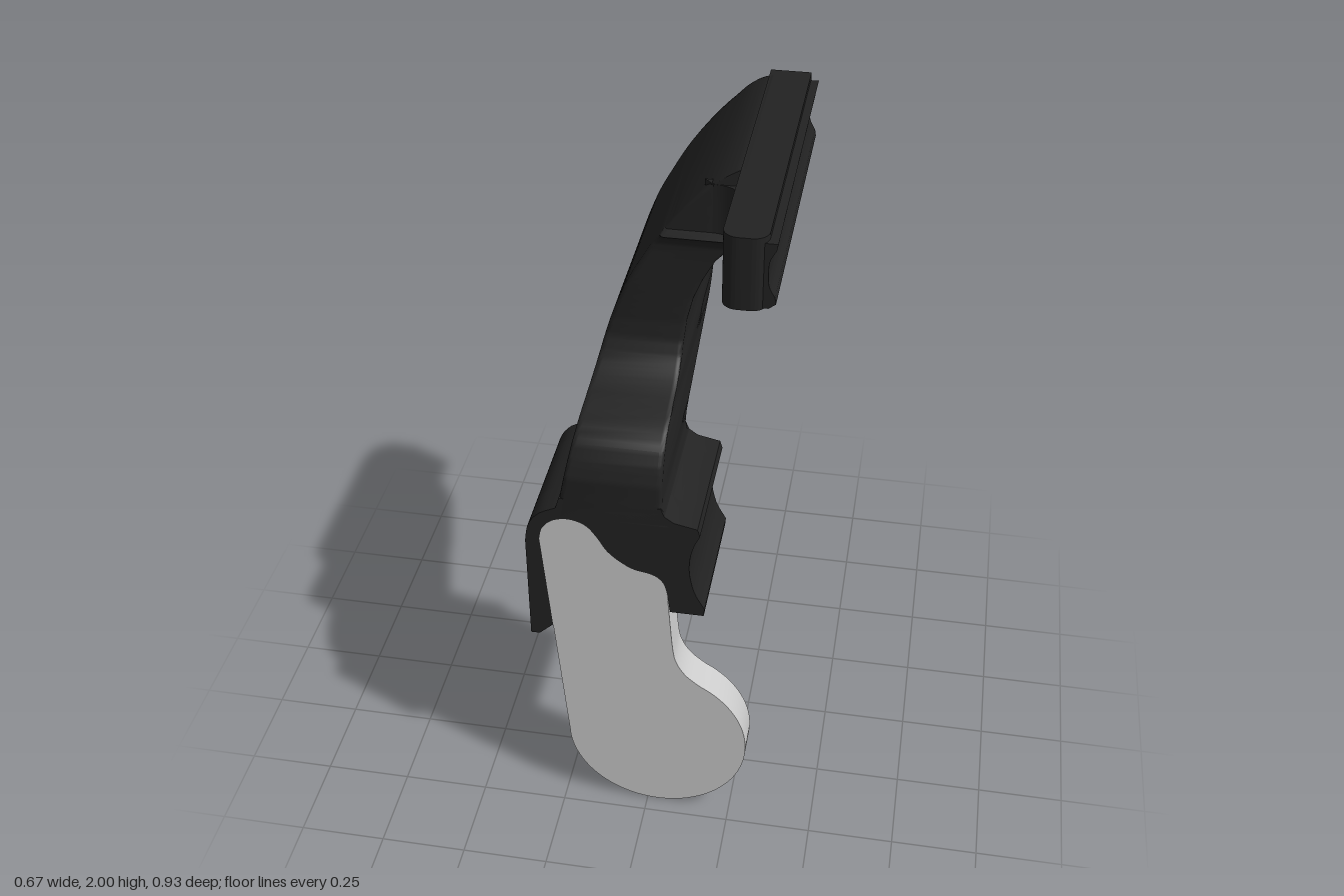
import * as THREE from 'three';
import { toCreasedNormals } from 'three/addons/utils/BufferGeometryUtils.js';

const black = new THREE.MeshStandardMaterial({ color: 0x222222 });
const grey = new THREE.MeshStandardMaterial({ color: 0xcccccc });

function part(name, geometry, material) {
  const mesh = new THREE.Mesh(toCreasedNormals(geometry, 0.5), material);
  mesh.name = name;
  return mesh;
}

const outline = (pts) => new THREE.Shape(pts.map(([x, y]) => new THREE.Vector2(x, y)));

// Extrude a front outline from z0 to z1
function slab(shape, z0, z1) {
  return new THREE.ExtrudeGeometry(shape, { depth: z1 - z0, bevelEnabled: false, curveSegments: 32 })
    .translate(0, 0, z0);
}

// Extrude a plan outline (drawn as x, -z) from y0 to y1
function plan(shape, y0, y1) {
  return new THREE.ExtrudeGeometry(shape, { depth: y1 - y0, bevelEnabled: false, curveSegments: 12 })
    .rotateX(-Math.PI / 2).translate(0, y0, 0);
}

// Smooth list of points through a few control points
const smooth = (pts, n) => new THREE.SplineCurve(pts.map(([x, y]) => new THREE.Vector2(x, y)))
  .getPoints(n).map((p) => [p.x, p.y]);

// Linear lookup in a list of [y, value]
function lookup(table, y) {
  for (let i = 1; i < table.length; i++) {
    const [ya, a] = table[i - 1], [yb, b] = table[i];
    if (y <= yb) return a + (b - a) * THREE.MathUtils.clamp((y - ya) / (yb - ya), 0, 1);
  }
  return table[table.length - 1][1];
}

// Arm: rounded rectangles stacked along y, bounded by four edge curves
function armGeometry() {
  const outer = smooth([[1.08, -0.245], [1.2, -0.222], [1.45, -0.17], [1.6, -0.12], [1.7, -0.07],
    [1.8, -0.01], [1.9, 0.07], [1.97, 0.145], [2, 0.2]], 60);
  const inner = [[1.08, 0.08], [1.11, 0.055], [1.15, 0.047], [1.46, 0.05], [1.53, 0.058], [1.6, 0.075],
    [1.66, 0.1], [1.72, 0.133], [1.76, 0.17], [1.78, 0.195], [1.8, 0.21], [2, 0.215]];
  const back = [[1.08, 0.05], [1.16, 0.045], [1.18, 0.03], [1.2, -0.01], [1.33, -0.36], [1.35, -0.395],
    [1.38, -0.425], [1.42, -0.452], [1.47, -0.463], [1.96, -0.463], [1.985, -0.45], [2, -0.43]];
  const front = [[1.08, 0.45], [1.21, 0.45], [1.26, 0.435], [1.3, 0.41], [1.33, 0.37], [1.345, 0.34],
    [1.36, 0.29], [1.38, 0.23], [1.4, 0.19], [1.43, 0.155], [1.47, 0.133], [1.52, 0.127],
    [1.76, 0.127], [1.785, 0.135], [1.8, 0.155], [1.81, 0.127], [2, 0.127]];
  const pos = [], idx = [], rows = 92, steps = 4, ring = 4 * (steps + 1);
  for (let r = 0; r <= rows; r++) {
    const y = 1.08 + 0.92 * r / rows;
    const xl = lookup(outer, y), xr = Math.max(lookup(inner, y), xl + 0.01);
    const zb = lookup(back, y), zf = lookup(front, y);
    const small = Math.min(0.014, (xr - xl) * 0.3), big = Math.min(0.055, (xr - xl) * 0.5);
    // Corners: front left, front right, back right, back left
    const corners = [[xl, zf, 1, -1, small], [xr, zf, -1, -1, small], [xr, zb, -1, 1, small], [xl, zb, 1, 1, big]];
    corners.forEach(([x, z, sx, sz, rad], c) => {
      for (let s = 0; s <= steps; s++) {
        const a = Math.PI * 1.5 + (c + s / steps) * Math.PI / 2;
        pos.push(x + sx * rad + Math.sin(a) * rad, y, z + sz * rad + Math.cos(a) * rad);
      }
    });
  }
  for (let r = 0; r < rows; r++) {
    for (let i = 0; i < ring; i++) {
      const a = r * ring + i, b = r * ring + (i + 1) % ring;
      idx.push(a, b, b + ring, a, b + ring, a + ring);
    }
  }
  const top = rows * ring;
  for (let i = 1; i < ring - 1; i++) idx.push(0, i + 1, i, top, top + i, top + i + 1);
  const g = new THREE.BufferGeometry();
  g.setAttribute('position', new THREE.Float32BufferAttribute(pos, 3));
  g.setIndex(idx);
  return g;
}

// Rounded notch in the underside, walked from right to left
function notch(xr, xl, y0, yTop) {
  const r = (xr - xl) / 2, pts = [[xr, y0]];
  for (let i = 0; i <= 8; i++) {
    const a = Math.PI * i / 8;
    pts.push([(xr + xl) / 2 + r * Math.cos(a), yTop - r + r * Math.sin(a)]);
  }
  return [...pts, [xl, y0]];
}

export function createModel() {
  const model = new THREE.Group();
  model.add(part('arm', armGeometry(), black));

  // Head bar with rounded front end
  const bar = new THREE.Shape();
  bar.moveTo(0.195, 0.46);
  bar.lineTo(0.195, -0.425);
  bar.absarc(0.235, -0.425, 0.04, Math.PI, Math.PI * 1.5, false);
  bar.absarc(0.268, -0.425, 0.04, Math.PI * 1.5, Math.PI * 2, false);
  bar.lineTo(0.308, 0.463);
  bar.lineTo(0.195, 0.463);
  const head = new THREE.Group();
  head.name = 'head';
  head.add(part('headBar', plan(bar, 1.8, 2), black));

  // Grooved pad along the head
  const groove = smooth([[0.327, 1.835], [0.312, 1.865], [0.309, 1.9], [0.312, 1.935], [0.327, 1.965]], 14);
  head.add(part('headPad', slab(outline([[0.29, 1.803], [0.312, 1.803], [0.33, 1.817], ...groove,
    [0.33, 1.983], [0.29, 1.983]]), -0.45, 0.452), black));

  // Fillet between arm and head bar
  const web = new THREE.Shape();
  web.moveTo(0.1, -0.1);
  web.lineTo(0.125, -0.127);
  web.quadraticCurveTo(0.205, -0.127, 0.21, -0.215);
  web.lineTo(0.21, -0.1);
  head.add(part('headFillet', plan(web, 1.805, 1.95), black));
  model.add(head);

  // Clamp: outer boundary from the lower right round over the top to the lower left
  const jaw = smooth([[0.167, 0.8], [0.137, 0.86], [0.123, 0.94], [0.132, 1.01], [0.152, 1.06]], 16);
  const shoulder = smooth([[-0.245, 1.105], [-0.295, 1.078], [-0.325, 1.035], [-0.335, 0.98]], 10);
  const clampTop = [[0.07, 0.775], [0.165, 0.775], ...jaw, [0.145, 1.083], [0.08, 1.097], [0.055, 1.115],
    [0.045, 1.14], [-0.235, 1.14], ...shoulder, [-0.335, 0.635], [-0.31, 0.635]];
  const slope = [[-0.265, 0.675], [-0.235, 0.705]];
  const notched = [...notch(0.03, -0.06, 0.785, 0.86), ...notch(-0.1, -0.2, 0.785, 0.865).reverse()]; // right half, left half
  const left = notched.slice(11).reverse(), right = notched.slice(0, 11);
  const underside = [...slope, [-0.205, 0.74], ...left.reverse(), ...right.reverse()];

  // Seat edge that follows the top of the lever
  const seat = smooth([[-0.295, 0.99], [-0.285, 1.03], [-0.255, 1.06], [-0.21, 1.07], [-0.165, 1.055],
    [-0.135, 1.02], [-0.1, 0.965], [-0.04, 0.92], [0.02, 0.905], [0.05, 0.88], [0.062, 0.84]], 44);

  const clamp = new THREE.Group();
  clamp.name = 'clamp';
  clamp.add(part('clampBack', slab(outline([...clampTop, ...underside]), 0.045, 0.115), black));
  clamp.add(part('clampBody', slab(outline([...clampTop, ...slope, [-0.18, 0.755], [-0.1, 0.785], [0, 0.785]]),
    0.115, 0.35), black));
  clamp.add(part('clampRim', slab(outline([...clampTop, [-0.268, 0.675], ...seat]), 0.35, 0.45), black));
  model.add(clamp);

  // Lever: flat plate with a round lower end
  const neck = smooth([[0.1625, 0.494], [0.115, 0.535], [0.085, 0.59], [0.075, 0.66]], 14);
  const plate = outline([...neck, ...seat.slice().reverse()]);
  plate.lineTo(-0.234, 0.25);
  plate.absarc(0.03, 0.265, 0.265, Math.PI * 1.02, Math.PI * 2 + Math.PI / 3, false);
  model.add(part('lever', slab(plate, 0.35, 0.45), grey));
  return model;
}
